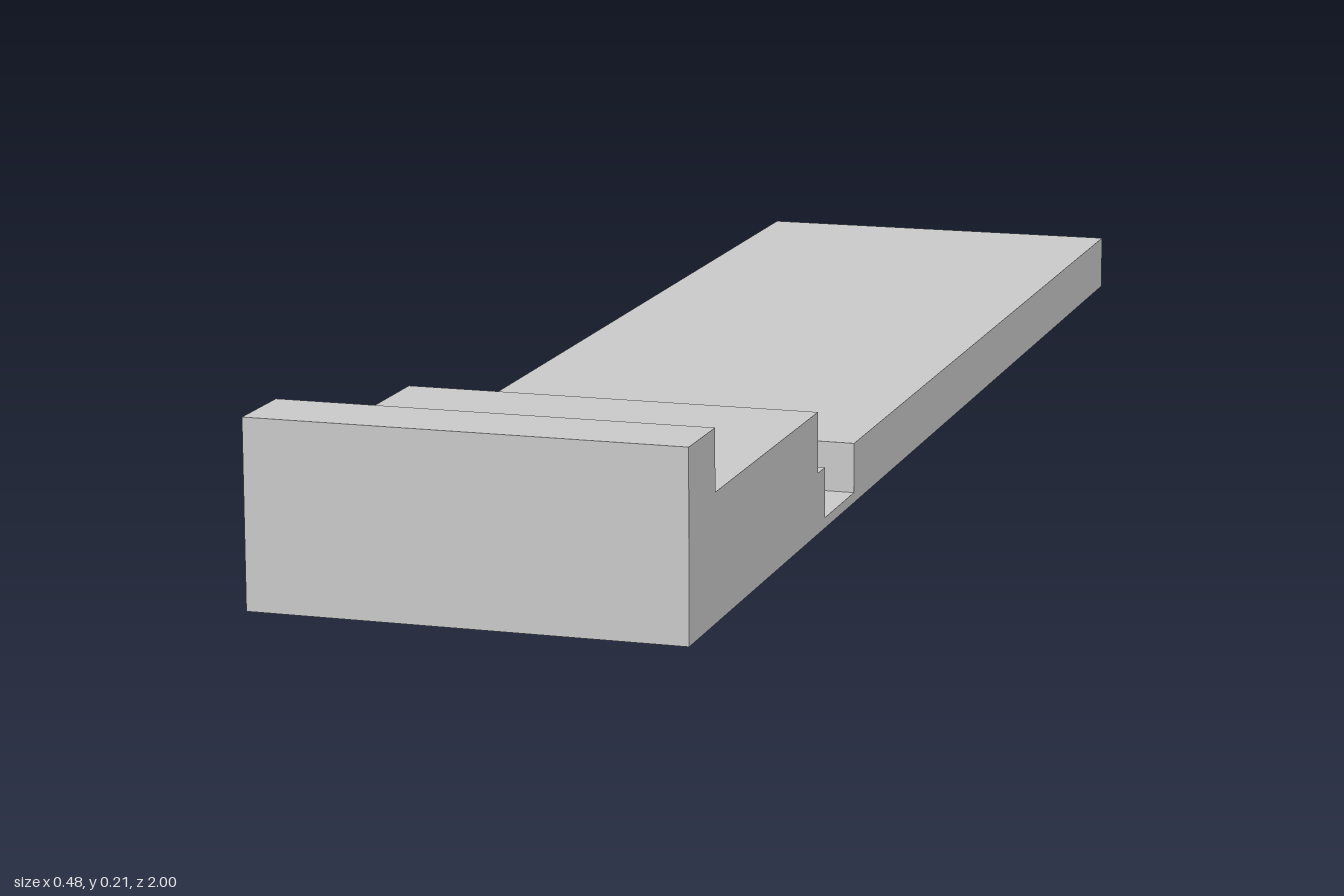
import * as THREE from 'three';
import { mergeGeometries } from 'three/addons/utils/BufferGeometryUtils.js';

const HALF = 0.242, BED = 0.07, DECK = 0.14, TOP = 0.208;
const NOTCH = [0.36, 0.485]; // z range of the side notch

// Side outline as [z, y], counter-clockwise seen from +x; the notch is cut down to floorY
function outline(floorY) {
  const [n0, n1] = NOTCH;
  const cut = floorY === undefined ? [] : [[n1, BED], [n1, floorY], [n0, floorY], [n0, BED]].reverse();
  return [[1, 0], [-1, 0], [-1, BED], ...cut,
    [0.515, BED], [0.515, DECK], [0.908, DECK], [0.908, TOP], [1, TOP]];
}

// Flat face in the plane at x, looking toward +x (dir 1) or -x (dir -1)
function cap(points, x, dir) {
  const shape = new THREE.Shape(points.map(([z, y]) => new THREE.Vector2(-dir * z, y)));
  const g = new THREE.ShapeGeometry(shape).rotateY(dir * Math.PI / 2).translate(x, 0, 0).toNonIndexed();
  g.deleteAttribute('uv');
  return g;
}

// Walls swept along x between two planes, one quad per outline edge
function skin(points, x0, x1) {
  const pos = [];
  points.forEach(([z, y], i) => {
    const [z2, y2] = points[(i + 1) % points.length];
    pos.push(x0, y, z, x0, y2, z2, x1, y2, z2, x0, y, z, x1, y2, z2, x1, y, z);
  });
  const g = new THREE.BufferGeometry();
  g.setAttribute('position', new THREE.Float32BufferAttribute(pos, 3));
  g.computeVertexNormals();
  return g;
}

// Rectangle of the notch between two heights
const riser = (y0, y1) => [[NOTCH[1], y0], [NOTCH[0], y0], [NOTCH[0], y1], [NOTCH[1], y1]];

export function createModel() {
  const group = new THREE.Group();
  const material = new THREE.MeshStandardMaterial({ color: 0xcccccc, flatShading: true });
  const add = (name, geometry) => {
    const mesh = new THREE.Mesh(geometry, material);
    mesh.name = name;
    group.add(mesh);
    return mesh;
  };

  // Stepped slab with raised deck, end lip and a two-level notch in its left edge
  const stepX = [0.098, 0.15], stepY = [0.036, 0.012];
  add('steppedBase', mergeGeometries([
    cap(outline(), -HALF, -1),
    skin(outline(), -HALF, stepX[0]),
    cap(riser(stepY[0], BED), stepX[0], 1),
    skin(outline(stepY[0]), stepX[0], stepX[1]),
    cap(riser(stepY[1], stepY[0]), stepX[1], 1),
    skin(outline(stepY[1]), stepX[1], HALF),
    cap(outline(stepY[1]), HALF, 1),
  ]));

  // Small block on the deck against the lip
  add('deckTab', new THREE.BoxGeometry(0.1, 0.035, 0.07)).position.set(0, DECK + 0.0175, 0.873);

  return group;
}
